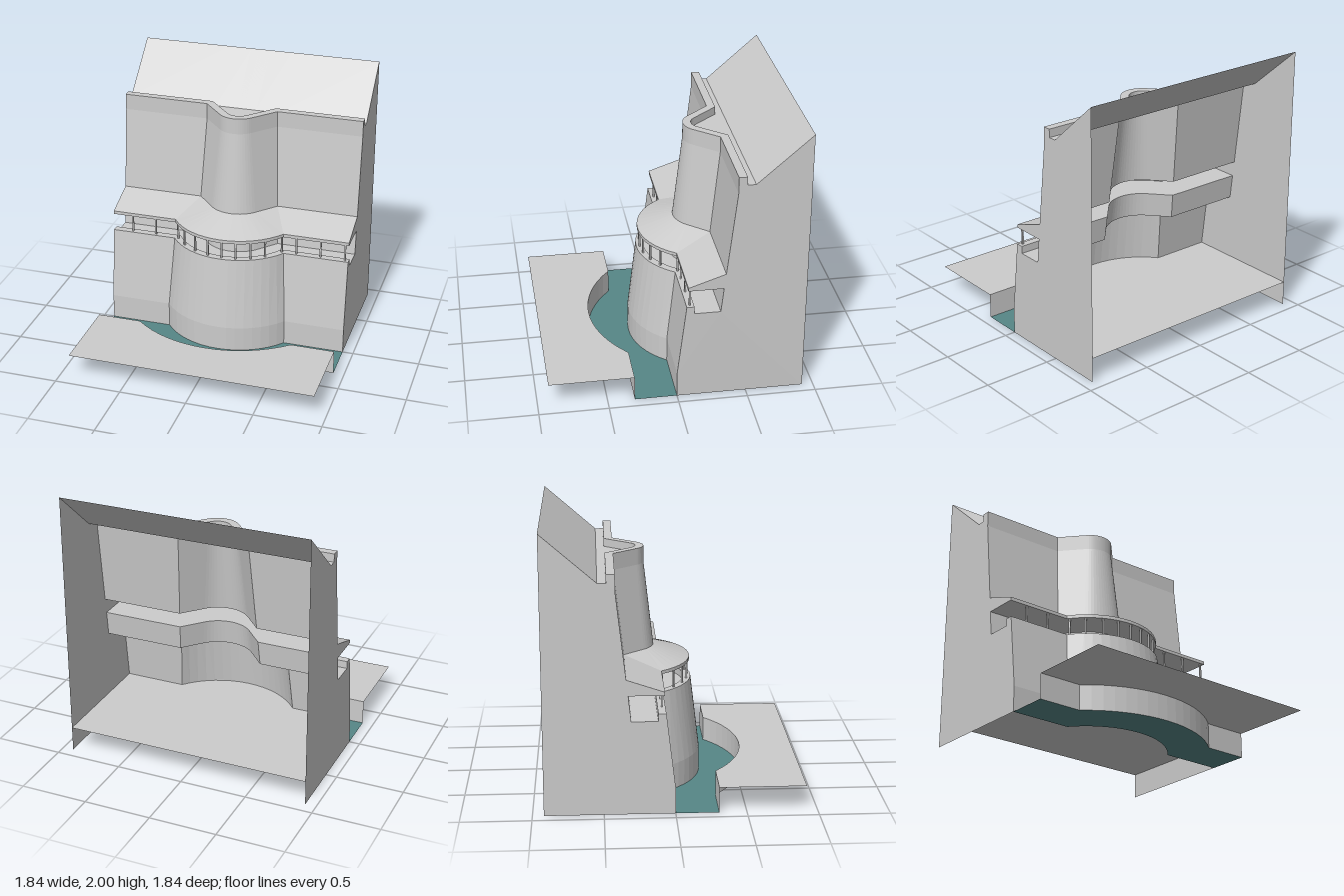
import * as THREE from 'three';

const HALF = 0.92;   // half width of the wall piece
const SEG = 16;      // facets round each bulge
const GROUND = 0.185;

const stone = new THREE.MeshStandardMaterial({ color: 0xcccccc, flatShading: true, side: THREE.DoubleSide });
const water = new THREE.MeshStandardMaterial({ color: 0x568787, flatShading: true, side: THREE.DoubleSide });

// A cross-section runs from -x to +x: flat wall, corner, bulge, corner, flat wall.
function section(flat, corner, arcCentre, radius, angle, y) {
  const pts = [[-HALF, y, flat], [-corner, y, flat]];
  for (let i = 0; i <= SEG; i++) {
    const t = angle * (2 * i / SEG - 1);
    pts.push([radius * Math.sin(t), y, arcCentre + radius * Math.cos(t)]);
  }
  pts.push([corner, y, flat], [HALF, y, flat]);
  return pts.map(p => new THREE.Vector3(...p));
}

// Broad round bastion of the lower wall, offset outward by d
function lower(d, y) {
  const r = 0.583 + d, c = -0.358;
  const angle = Math.acos((d - c) / r);
  return section(d, r * Math.sin(angle), c, r, angle, y);
}

// Narrow bulge with straight flanks of the upper wall, offset outward by d
function upper(d, y) {
  const r = 0.16 + d, c = -0.345, angle = 0.84, flat = -0.41 + d;
  const corner = r * Math.sin(angle) + (c + r * Math.cos(angle) - flat) / Math.tan(angle);
  return section(flat, corner, c, r, angle, y);
}

// Straight line across, with points matching the x positions of another section
const straight = (like, z, y) => like.map(p => new THREE.Vector3(p.x, y, z));

// Surface through consecutive sections
function loft(name, sections, material = stone) {
  const pos = [];
  const tri = (a, b, c) => {
    if (new THREE.Triangle(a, b, c).getArea() > 1e-7) for (const p of [a, b, c]) pos.push(p.x, p.y, p.z);
  };
  for (let s = 0; s + 1 < sections.length; s++) {
    const a = sections[s], b = sections[s + 1];
    for (let i = 0; i + 1 < a.length; i++) {
      tri(a[i], a[i + 1], b[i + 1]);
      tri(a[i], b[i + 1], b[i]);
    }
  }
  const geo = new THREE.BufferGeometry();
  geo.setAttribute('position', new THREE.Float32BufferAttribute(pos, 3));
  geo.computeVertexNormals();
  const mesh = new THREE.Mesh(geo, material);
  mesh.name = name;
  return mesh;
}

export function createModel() {
  const model = new THREE.Group();
  model.name = 'fortressWall';

  // Wall parts in order from the foot to the back of the roof slope
  const gutterTop = upper(-0.06, 1.72), gutterFoot = upper(-0.06, 1.66);
  const parts = {
    lowerWall: [lower(0, 0), lower(0, 0.19), lower(-0.065, 0.735)],
    galleryParapet: [lower(-0.065, 0.735), lower(-0.12, 0.735), lower(-0.12, 0.68)],
    galleryFloor: [lower(-0.12, 0.68), upper(0.103, 0.68)],
    galleryBackWall: [upper(0.103, 0.68), upper(0.083, 0.865)],
    galleryCeiling: [upper(0.083, 0.865), lower(-0.075, 0.865)],
    galleryRoof: [lower(-0.075, 0.865), lower(-0.075, 0.89), upper(0.07, 0.98)],
    upperWall: [upper(0.07, 0.98), upper(0, 1.6), upper(0, 1.72)],
    upperParapet: [upper(0, 1.72), gutterTop, gutterFoot],
    wallWalk: [gutterFoot, straight(gutterFoot, -0.53, 1.66)],
    topSlope: [straight(gutterFoot, -0.53, 1.66), straight(gutterFoot, -HALF, 2)],
  };
  for (const [name, sections] of Object.entries(parts)) model.add(loft(name, sections));

  // End panels close the same profile at both sides
  const profile = Object.values(parts).flatMap(list => list.map(s => s[0]));
  const outline = profile.filter((p, i) => i === 0 || p.distanceTo(profile[i - 1]) > 1e-4)
    .map(p => new THREE.Vector2(-p.z, p.y));
  outline.push(new THREE.Vector2(HALF, 0));
  const panelGeo = new THREE.ShapeGeometry(new THREE.Shape(outline));
  panelGeo.rotateY(Math.PI / 2);
  for (const side of [-1, 1]) {
    const panel = new THREE.Mesh(panelGeo, stone);
    panel.name = side > 0 ? 'leftEndPanel' : 'rightEndPanel';
    panel.position.x = side * HALF;
    model.add(panel);
  }

  // Floor inside the hollow wall
  const floorEdge = lower(0, GROUND);
  model.add(loft('innerFloor', [floorEdge, straight(floorEdge, -HALF, GROUND)]));

  // Moat, its outer bank and the ground beyond
  const bankTop = lower(0.305, GROUND), bankFoot = lower(0.305, 0);
  model.add(loft('moat', [bankFoot, lower(0, 0)], water));
  model.add(loft('moatBank', [bankTop, bankFoot]));
  model.add(loft('outerGround', [straight(bankTop, HALF, GROUND), bankTop]));

  // Thin posts between the gallery parapet and its roof
  const posts = new THREE.Group();
  posts.name = 'galleryPosts';
  const postGeo = new THREE.BoxGeometry(0.012, 0.13, 0.012);
  const d = -0.09, r = 0.583 + d;
  const xs = [-0.77, -0.585, -0.4, -0.32, -0.215, -0.105, 0.005, 0.11, 0.215, 0.31, 0.41, 0.52, 0.705, 0.89];
  for (const x of xs) {
    const post = new THREE.Mesh(postGeo, stone);
    post.name = 'galleryPost';
    const bulge = Math.abs(x) < r ? -0.358 + Math.sqrt(r * r - x * x) : d;
    post.position.set(x, 0.8, Math.max(d, bulge));
    if (bulge > d) post.rotation.y = Math.asin(x / r);
    posts.add(post);
  }
  model.add(posts);
  return model;
}
